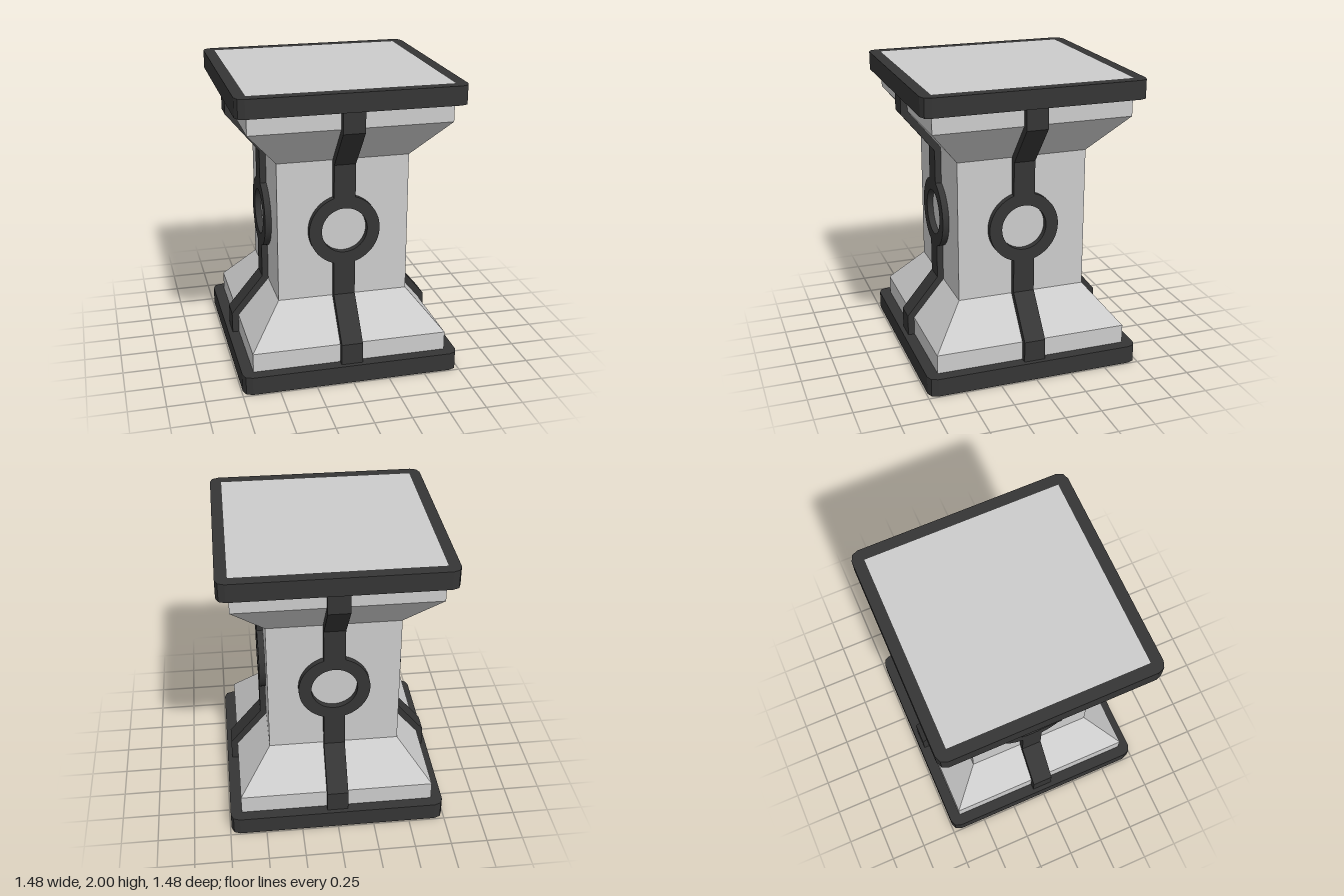
import * as THREE from 'three';
import { toCreasedNormals } from 'three/addons/utils/BufferGeometryUtils.js';

const HEIGHT = 2, WIDE = 0.665, WAIST = 0.445, RIM = 0.742;

// Polygon shape from [x, y] pairs
const polygon = (pts) => new THREE.Shape(pts.map(([x, y]) => new THREE.Vector2(x, y)));

// Square column with flared ends: a four-sided lathe
function bodyGeometry() {
  const profile = [
    [0, 0], [WIDE, 0], [WIDE, 0.255], [WAIST, 0.52],
    [WAIST, 1.485], [WIDE, 1.75], [WIDE, HEIGHT], [0, HEIGHT],
  ].map(([r, y]) => new THREE.Vector2(r * Math.SQRT2, y));
  const geo = new THREE.LatheGeometry(profile, 4, Math.PI / 4).toNonIndexed();
  geo.computeVertexNormals();
  return geo;
}

// Square frame with softened corners
function rimGeometry() {
  const c = RIM - 0.06, m = RIM - 0.017;
  const pts = [];
  for (const [sx, sy, flip] of [[1, 1, 0], [-1, 1, 1], [-1, -1, 0], [1, -1, 1]]) {
    const corner = [[RIM, c], [m, m], [c, RIM]];
    if (flip) corner.reverse();
    corner.forEach(([x, y]) => pts.push([sx * x, sy * y]));
  }
  const shape = polygon(pts);
  shape.holes.push(polygon([[-WIDE, -WIDE], [-WIDE, WIDE], [WIDE, WIDE], [WIDE, -WIDE]]));
  return new THREE.ExtrudeGeometry(shape, { depth: 0.125, bevelEnabled: false })
    .rotateX(-Math.PI / 2);
}

// Bent strap following the flare from the rim to the ring
function strapGeometry(upper) {
  const pts = [
    [0.71, 0.1], [0.71, 0.27], [0.488, 0.54], [0.488, 0.773],
    [0.43, 0.773], [0.43, 0.51], [0.64, 0.25], [0.64, 0.1],
  ].map(([z, y]) => [z, upper ? HEIGHT - y : y]);
  return new THREE.ExtrudeGeometry(polygon(pts), { depth: 0.145, bevelEnabled: false })
    .rotateY(-Math.PI / 2).translate(0.0725, 0, 0);
}

// Flat ring standing proud of the waist
function ringGeometry() {
  const shape = new THREE.Shape().absarc(0, 0, 0.24, 0, Math.PI * 2);
  shape.holes.push(new THREE.Path().absarc(0, 0, 0.155, 0, Math.PI * 2, true));
  const geo = new THREE.ExtrudeGeometry(shape, { depth: 0.053, bevelEnabled: false, curveSegments: 32 });
  return toCreasedNormals(geo.translate(0, 1.003, 0.435), 0.6);
}

export function createModel() {
  const lightGrey = new THREE.MeshStandardMaterial({ color: 0xcccccc });
  lightGrey.name = 'lightGrey';
  const darkGrey = new THREE.MeshStandardMaterial({ color: 0x353535 });
  darkGrey.name = 'darkGrey';

  const model = new THREE.Group();
  model.name = 'pedestal';
  const add = (parent, name, geometry, material) => {
    const mesh = new THREE.Mesh(geometry, material);
    mesh.name = name;
    parent.add(mesh);
    return mesh;
  };

  add(model, 'column', bodyGeometry(), lightGrey);

  // Rims around base and top
  const rim = rimGeometry();
  add(model, 'baseRim', rim, darkGrey);
  add(model, 'topRim', rim, darkGrey).position.y = HEIGHT - 0.125;

  // Same trim on all four sides
  const lower = strapGeometry(false), upper = strapGeometry(true), ring = ringGeometry();
  ['front', 'left', 'back', 'right'].forEach((side, i) => {
    const trim = new THREE.Group();
    trim.name = side + 'Trim';
    trim.rotation.y = i * Math.PI / 2;
    add(trim, 'lowerStrap', lower, darkGrey);
    add(trim, 'upperStrap', upper, darkGrey);
    add(trim, 'ring', ring, darkGrey);
    model.add(trim);
  });
  return model;
}
